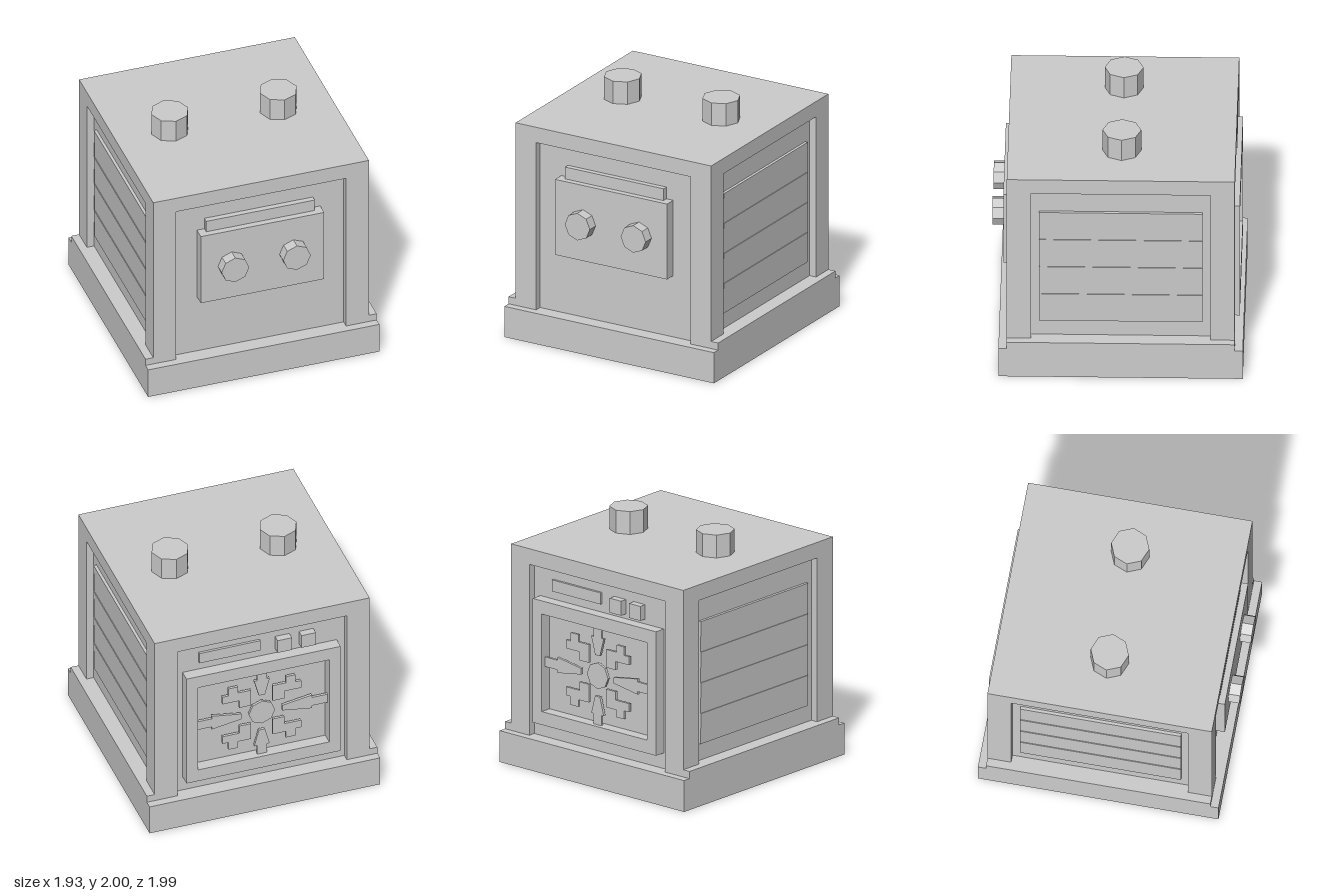
import * as THREE from 'three';

const grey = new THREE.MeshStandardMaterial({ color: 0xcccccc, flatShading: true });
grey.name = 'plain grey';

function add(parent, name, geometry, x = 0, y = 0, z = 0) {
  const mesh = new THREE.Mesh(geometry, grey);
  mesh.name = name;
  mesh.position.set(x, y, z);
  parent.add(mesh);
  return mesh;
}

// Box given by its lowest and highest corner
function box(parent, name, [x0, y0, z0], [x1, y1, z1]) {
  return add(parent, name, new THREE.BoxGeometry(x1 - x0, y1 - y0, z1 - z0),
    (x0 + x1) / 2, (y0 + y1) / 2, (z0 + z1) / 2);
}

function polygon(points) {
  return new THREE.Shape(points.map(([x, y]) => new THREE.Vector2(x, y)));
}

function rect(w, y0, y1) {
  return [[-w, y0], [w, y0], [w, y1], [-w, y1]];
}

function extrude(points, depth) {
  return new THREE.ExtrudeGeometry(polygon(points), { depth, bevelEnabled: false });
}

// Rectangular frame with a rectangular opening, lying in the xy plane
function frameGeometry(outer, inner, depth) {
  const shape = polygon(outer);
  shape.holes.push(polygon(inner));
  return new THREE.ExtrudeGeometry(shape, { depth, bevelEnabled: false });
}

// Side with a raised plate of four shallow overlapping slats, built for +x
function sidePanel() {
  const group = new THREE.Group();
  group.name = 'sidePanel';
  const profile = [[0.82, 0.46]];
  const step = 1.02 / 4;
  for (let i = 0; i < 4; i++) {
    profile.push([0.858, 0.46 + i * step], [0.864, 0.46 + (i + 1) * step]);
  }
  profile.push([0.82, 1.48]);
  add(group, 'slats', extrude(profile, 1.29), 0, 0, -0.645);
  box(group, 'sideLedge', [0.72, 0.1, -0.9], [0.965, 0.32, 0.9]);
  return group;
}

// Framed rear hatch with a thin star grille; faces +z before turning
function rearHatch() {
  const group = new THREE.Group();
  group.name = 'rearHatch';
  add(group, 'hatchFrame',
    frameGeometry(rect(0.645, 0.39, 1.42), rect(0.55, 0.5, 1.31), 0.105), 0, 0, 0.83);

  const star = new THREE.Group();
  star.name = 'starGrille';
  star.position.set(0, 0.905, 0.875);
  group.add(star);
  const depth = 0.022;
  const hub = add(star, 'hub', new THREE.CylinderGeometry(0.11, 0.11, depth, 8), 0, 0, depth / 2);
  hub.rotation.x = Math.PI / 2;

  // Tapered arms, each held to the frame by a narrower neck
  for (let i = 0; i < 4; i++) {
    const [wide, end] = i % 2 ? [0.32, 0.41] : [0.42, 0.555];
    const half = [[0.17, 0.025], [wide, 0.065], [wide, 0.04], [end, 0.04]];
    const lower = half.map(([x, y]) => [x, -y]);
    const arm = add(star, 'straightArm', extrude([...lower, ...half.reverse()], depth));
    arm.rotation.z = i * Math.PI / 2;
  }

  // Stepped diagonal arms
  const stepped = [[0.09, 0.09], [0.19, 0.09], [0.19, 0.16], [0.33, 0.16], [0.33, 0.23],
    [0.28, 0.23], [0.28, 0.3], [0.2, 0.3], [0.2, 0.24], [0.09, 0.24]];
  for (const sx of [-1, 1]) {
    for (const sy of [-1, 1]) {
      add(star, 'steppedArm', extrude(stepped.map(([x, y]) => [x * sx, y * sy]), depth));
    }
  }
  return group;
}

export function createModel() {
  const model = new THREE.Group();
  model.name = 'machine';
  const body = new THREE.Group();
  body.name = 'body';
  body.position.z = -0.025;
  model.add(body);

  // Plinth, core and lid
  box(body, 'plinth', [-0.965, 0, -0.965], [0.965, 0.26, 0.965]);
  box(body, 'core', [-0.84, 0.2, -0.84], [0.84, 1.75, 0.84]);
  box(body, 'topSlab', [-0.9, 1.68, -0.9], [0.9, 1.81, 0.9]);

  // Corner posts
  for (const sx of [-1, 1]) {
    for (const sz of [-1, 1]) {
      add(body, 'cornerPost', new THREE.BoxGeometry(0.19, 1.5, 0.19), sx * 0.805, 0.95, sz * 0.805);
    }
  }

  // Slatted sides
  for (const turn of [0, Math.PI]) {
    const side = sidePanel();
    side.rotation.y = turn;
    body.add(side);
  }

  // Front control panel with dials
  box(body, 'controlPanel', [-0.515, 0.78, 0.8], [0.515, 1.42, 0.935]);
  box(body, 'panelStrip', [-0.453, 1.4, 0.8], [0.453, 1.52, 0.885]);
  for (const x of [-0.257, 0.257]) {
    const dial = add(body, 'dial', new THREE.CylinderGeometry(0.115, 0.115, 0.1, 8), x, 1.1, 0.975);
    dial.rotation.x = Math.PI / 2;
  }

  // Rear hatch, strip and buttons
  const hatch = rearHatch();
  hatch.rotation.y = Math.PI;
  body.add(hatch);
  box(body, 'rearStrip', [0, 1.49, -0.86], [0.51, 1.585, -0.8]);
  for (const x of [-0.19, -0.39]) {
    box(body, 'rearButton', [x - 0.06, 1.46, -0.9], [x + 0.06, 1.58, -0.8]);
  }

  // Top caps
  for (const x of [-0.453, 0.453]) {
    add(body, 'topCap', new THREE.CylinderGeometry(0.153, 0.153, 0.2, 8), x, 1.9, 0);
  }
  return model;
}
